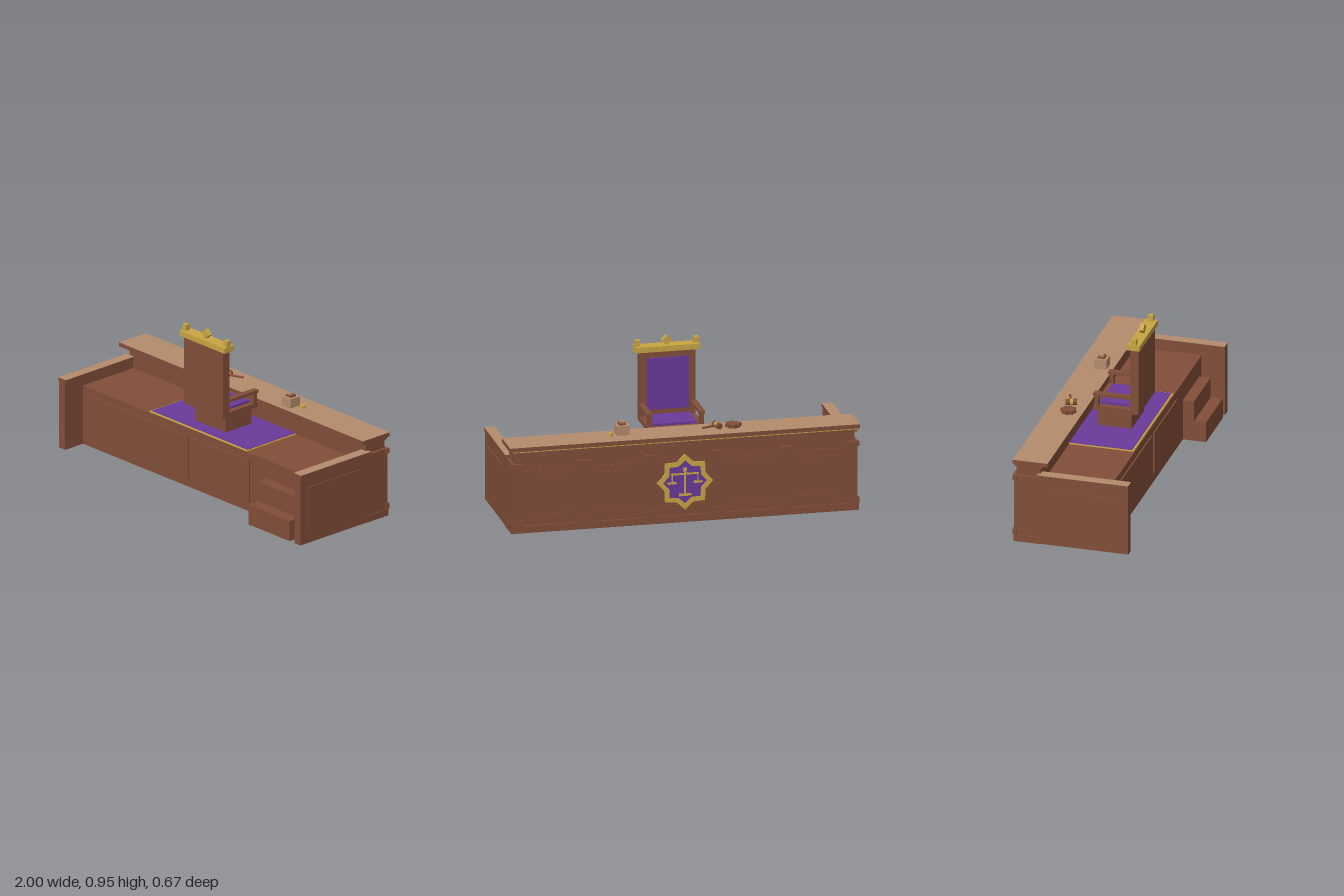
import * as THREE from 'three';

const mat = (name, color) => Object.assign(new THREE.MeshStandardMaterial({ color }), { name });

export function createModel() {
  const root = new THREE.Group();
  root.name = 'judgeBench';
  const wood = mat('wood', 0x824e39);
  const tan = mat('lightWood', 0xb48c6c);
  const purple = mat('purpleCloth', 0x6a3a9a);
  const gold = mat('gold', 0xc9a544);
  const topped = [wood, wood, tan, wood, wood, wood];

  const add = (name, geo, m, parent = root) => {
    const mesh = new THREE.Mesh(geo, m);
    mesh.name = name;
    parent.add(mesh);
    return mesh;
  };
  // Box given by its limits on each axis
  const box = (name, m, x0, x1, y0, y1, z0, z1, parent = root) => {
    const mesh = add(name, new THREE.BoxGeometry(x1 - x0, y1 - y0, z1 - z0), m, parent);
    mesh.position.set((x0 + x1) / 2, (y0 + y1) / 2, (z0 + z1) / 2);
    return mesh;
  };
  // Eight-pointed star outline
  const star = (r, k = 0.79) => {
    const pts = [];
    for (let i = 0; i < 16; i++) {
      const a = Math.PI / 2 + (i * Math.PI) / 8, q = i % 2 ? r * k : r;
      pts.push(new THREE.Vector2(Math.cos(a) * q, Math.sin(a) * q));
    }
    return new THREE.Shape(pts);
  };
  const extrude = (shape, depth) => new THREE.ExtrudeGeometry(shape, { depth, bevelEnabled: false });

  // Raised platform with front panels and steps
  box('platform', wood, -0.94, 0.94, 0, 0.35, -0.2, 0.2);
  box('platformPanelWide', wood, -0.9, -0.07, 0.055, 0.305, 0.199, 0.208);
  box('platformPanelNarrow', wood, -0.03, 0.43, 0.055, 0.305, 0.199, 0.208);
  box('lowerStep', wood, 0.565, 0.9, 0, 0.12, 0.2, 0.335);
  box('upperStep', wood, 0.565, 0.897, 0.12, 0.24, 0.2, 0.265);
  box('rugBorder', gold, -0.4, 0.4, 0.35, 0.355, -0.18, 0.195);
  box('rug', purple, -0.392, 0.392, 0.355, 0.358, -0.18, 0.184);

  // Side wings
  for (const s of [-1, 1]) {
    const wing = new THREE.Group();
    wing.name = s < 0 ? 'rightWing' : 'leftWing';
    root.add(wing);
    const sx = (name, m, a, b, ...rest) => box(name, m, Math.min(a * s, b * s), Math.max(a * s, b * s), ...rest, wing);
    sx('wingWall', wood, 0.94, 0.99, 0, 0.402, -0.2, 0.335);
    sx('wingCap', topped, 0.934, 0.996, 0.402, 0.42, -0.195, 0.335);
    sx('wingPanel', wood, 0.988, 0.996, 0.07, 0.335, -0.115, 0.285);
  }

  // Desk
  box('deskBody', wood, -0.988, 0.988, 0, 0.402, -0.319, -0.197);
  box('deskPlinth', wood, -0.993, 0.993, 0, 0.04, -0.33, -0.165);
  box('deskFrieze', wood, -0.97, 0.97, 0.35, 0.457, -0.319, -0.18);
  box('deskMoulding', wood, -0.985, 0.985, 0.457, 0.476, -0.325, -0.165);
  box('goldBead', gold, -0.985, 0.985, 0.47, 0.476, -0.328, -0.32);
  box('deskTop', topped, -1, 1, 0.476, 0.5, -0.332, -0.13);

  // Pilasters and panels on the public face
  for (let i = 0; i < 6; i++) {
    const x = -0.96 + i * 0.384;
    box('pilaster', wood, x - 0.026, x + 0.026, 0.04, 0.402, -0.329, -0.315);
    const reach = i === 0 || i === 5 ? 0.036 : 0.034;
    for (const [name, y] of [['capital', 0.375], ['pilasterBase', 0.042]])
      box(name, wood, x - reach, x + reach, y, y + (y > 0.2 ? 0.028 : 0.034), -0.335, -0.313);
    if (i === 5) break;
    const c = x + 0.192;
    const frame = new THREE.Shape([[-0.15, -0.14], [0.15, -0.14], [0.15, 0.14], [-0.15, 0.14]].map(p => new THREE.Vector2(...p)));
    frame.holes.push(new THREE.Path([[-0.13, -0.12], [-0.13, 0.12], [0.13, 0.12], [0.13, -0.12]].map(p => new THREE.Vector2(...p))));
    add('panelFrame', extrude(frame, 0.007), wood).position.set(c, 0.225, -0.325);
    box('panelField', wood, c - 0.11, c + 0.11, 0.125, 0.325, -0.323, -0.318);
  }

  // Star emblem with balance scales, facing the public
  const emblem = new THREE.Group();
  emblem.name = 'emblem';
  emblem.position.set(0, 0.235, -0.318);
  emblem.rotation.y = Math.PI;
  root.add(emblem);
  const rim = star(0.16);
  rim.holes.push(star(0.125));
  add('emblemRim', extrude(rim, 0.016), gold, emblem);
  add('emblemField', extrude(star(0.13), 0.011), purple, emblem);
  const flat = (name, x0, x1, y0, y1) => box(name, gold, x0, x1, y0, y1, 0.01, 0.015, emblem);
  flat('scalePost', -0.006, 0.006, -0.075, 0.075);
  flat('scaleFoot', -0.035, 0.035, -0.082, -0.068);
  flat('scaleBeam', -0.08, 0.08, 0.042, 0.052);
  flat('scaleFinial', -0.011, 0.011, 0.062, 0.082);
  for (const s of [-1, 1]) {
    flat('panHanger', s * 0.074 - 0.003, s * 0.074 + 0.003, 0, 0.045);
    flat('scalePan', s * 0.074 - 0.025, s * 0.074 + 0.025, -0.01, 0.002);
  }

  // Chair, facing the desk
  const chair = new THREE.Group();
  chair.name = 'chair';
  root.add(chair);
  const part = (...a) => box(...a, chair);
  part('chairPedestal', wood, -0.125, 0.125, 0.352, 0.463, -0.095, 0.103);
  part('chairSeat', wood, -0.16, 0.16, 0.463, 0.49, -0.11, 0.105);
  part('seatCushion', purple, -0.125, 0.125, 0.49, 0.503, -0.08, 0.098);
  part('chairBack', wood, -0.16, 0.16, 0.463, 0.865, 0.105, 0.155);
  part('backCushion', purple, -0.12, 0.12, 0.53, 0.83, 0.095, 0.106);
  part('chairCrest', gold, -0.185, 0.185, 0.865, 0.897, 0.095, 0.167);
  for (const s of [-1, 1]) {
    const x = s * 0.149;
    part('armrest', wood, x - 0.017, x + 0.017, 0.552, 0.569, -0.107, 0.105);
    part('armPost', wood, x - 0.013, x + 0.013, 0.49, 0.552, -0.1, -0.077);
    const k = s * 0.168;
    part('crestKnob', gold, k - 0.014, k + 0.014, 0.897, 0.931, 0.116, 0.146);
  }
  const diamond = add('crestDiamond', new THREE.BoxGeometry(0.043, 0.043, 0.024), gold, chair);
  diamond.position.set(0, 0.922, 0.131);
  diamond.rotation.z = Math.PI / 4;

  // Gavel and sounding block
  const block = add('soundingBlock', extrude(star(0.046), 0.02), wood);
  block.rotation.x = -Math.PI / 2;
  block.position.set(-0.303, 0.5, -0.21);
  const gavel = new THREE.Group();
  gavel.name = 'gavel';
  gavel.position.set(-0.208, 0.518, -0.222);
  gavel.rotation.y = 0.35;
  root.add(gavel);
  const rod = (name, r, len, m) => add(name, new THREE.CylinderGeometry(r, r, len, 12), m, gavel);
  rod('gavelHead', 0.017, 0.062, wood).rotation.x = Math.PI / 2;
  rod('gavelBand', 0.0185, 0.016, gold).rotation.x = Math.PI / 2;
  const handle = rod('gavelHandle', 0.006, 0.09, wood);
  handle.rotation.z = Math.PI / 2;
  handle.position.x = 0.05;

  // Inkwell and small gold disc
  box('inkwellBody', tan, 0.294, 0.368, 0.5, 0.555, -0.236, -0.164);
  box('inkwellNeck', wood, 0.311, 0.351, 0.555, 0.565, -0.22, -0.18);
  box('inkwellLid', tan, 0.318, 0.344, 0.565, 0.577, -0.213, -0.187);
  add('goldDisc', new THREE.CylinderGeometry(0.015, 0.015, 0.016, 16), gold).position.set(0.403, 0.508, -0.225);

  return root;
}
